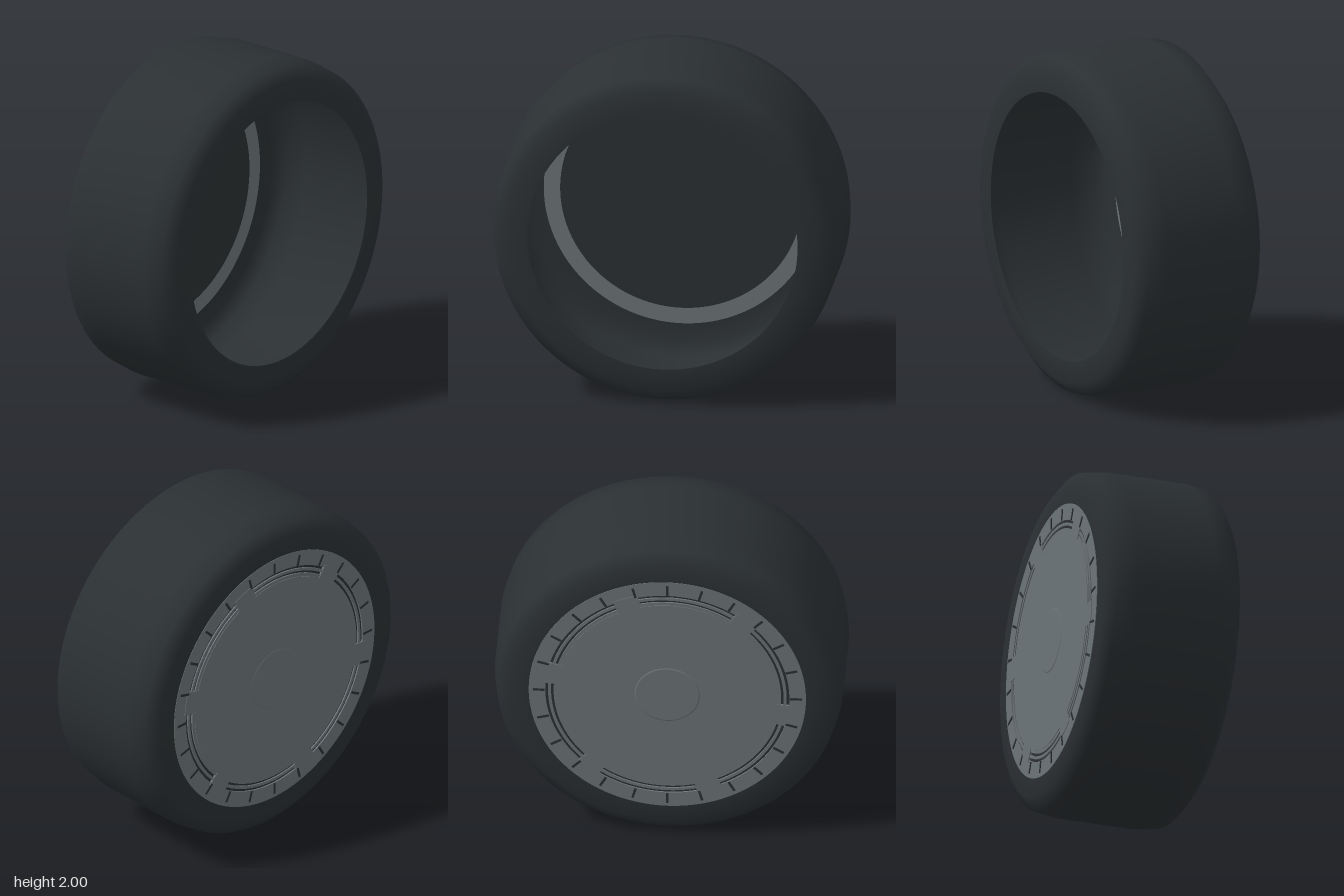
import * as THREE from 'three';

const tyreMat = new THREE.MeshStandardMaterial({ color: 0x2b3033, side: THREE.DoubleSide });
const darkMat = new THREE.MeshStandardMaterial({ color: 0x2b3033 });
const coverMat = new THREE.MeshStandardMaterial({ color: 0x6c7477 });
const rad = THREE.MathUtils.degToRad;

function add(parent, name, geometry, material) {
  const mesh = new THREE.Mesh(geometry, material);
  mesh.name = name;
  parent.add(mesh);
  return mesh;
}

// Flat slab between two depths
function slab(shape, z0, z1) {
  const g = new THREE.ExtrudeGeometry(shape, { depth: z1 - z0, bevelEnabled: false, curveSegments: 96 });
  return g.translate(0, 0, z0);
}

// Full disc or ring outline
function ring(outer, inner = 0) {
  const s = new THREE.Shape().absarc(0, 0, outer, 0, Math.PI * 2, false);
  if (inner) s.holes.push(new THREE.Path().absarc(0, 0, inner, 0, Math.PI * 2, true));
  return s;
}

// Disc whose rim carries evenly spaced tabs
function tabbedDisc(radius, tabRadius, tabs, firstAngle, halfAngle) {
  const s = new THREE.Shape();
  const step = 360 / tabs;
  for (let i = 0; i < tabs; i++) {
    const a = firstAngle + i * step;
    s.absarc(0, 0, tabRadius, rad(a - halfAngle), rad(a + halfAngle), false);
    s.absarc(0, 0, radius, rad(a + halfAngle), rad(a + step - halfAngle), false);
  }
  return s;
}

export function createModel() {
  const model = new THREE.Group();
  model.name = 'wheel';

  // Tyre: open shell swept around the axle, front rim at +z
  const profile = [
    [0.78, -0.4], [0.905, -0.4], [0.98, -0.345], [1, -0.22],
    [1, 0.25], [0.98, 0.37], [0.905, 0.425], [0.78, 0.425],
  ].map(([r, z]) => new THREE.Vector2(r, z));
  const tyre = add(model, 'tyre', new THREE.LatheGeometry(profile, 96).rotateX(Math.PI / 2), tyreMat);
  tyre.position.y = 1;

  // Wheel cover closes the back; its local +z points outward
  const cover = new THREE.Group();
  cover.name = 'wheelCover';
  cover.position.y = 1;
  cover.rotation.y = Math.PI;
  model.add(cover);

  add(cover, 'rimRing', slab(ring(0.795, 0.7), 0.392, 0.403), coverMat);
  add(cover, 'backingDisc', slab(ring(0.7), 0.39, 0.394), darkMat);

  // Thin concentric ribs seen between the tabs
  add(cover, 'innerRib', slab(ring(0.652, 0.62), 0.394, 0.403), coverMat);
  add(cover, 'outerRib', slab(ring(0.684, 0.667), 0.394, 0.403), coverMat);

  // Face plate with six tabs
  add(cover, 'facePlate', slab(tabbedDisc(0.632, 0.715, 6, -10, 6), 0.394, 0.406), coverMat);

  // Shallow centre cap
  const cap = new THREE.CylinderGeometry(0.18, 0.19, 0.004, 64).rotateX(Math.PI / 2);
  add(cover, 'centreCap', cap, coverMat).position.z = 0.407;

  // Radial marks around the rim
  const marks = new THREE.Group();
  marks.name = 'rimMarks';
  cover.add(marks);
  for (let i = 0; i < 24; i++) {
    const a = rad(i * 15);
    const mark = add(marks, 'rimMark', new THREE.BoxGeometry(0.068, 0.014, 0.008), darkMat);
    mark.position.set(0.737 * Math.cos(a), 0.737 * Math.sin(a), 0.403);
    mark.rotation.z = a;
  }
  return model;
}
